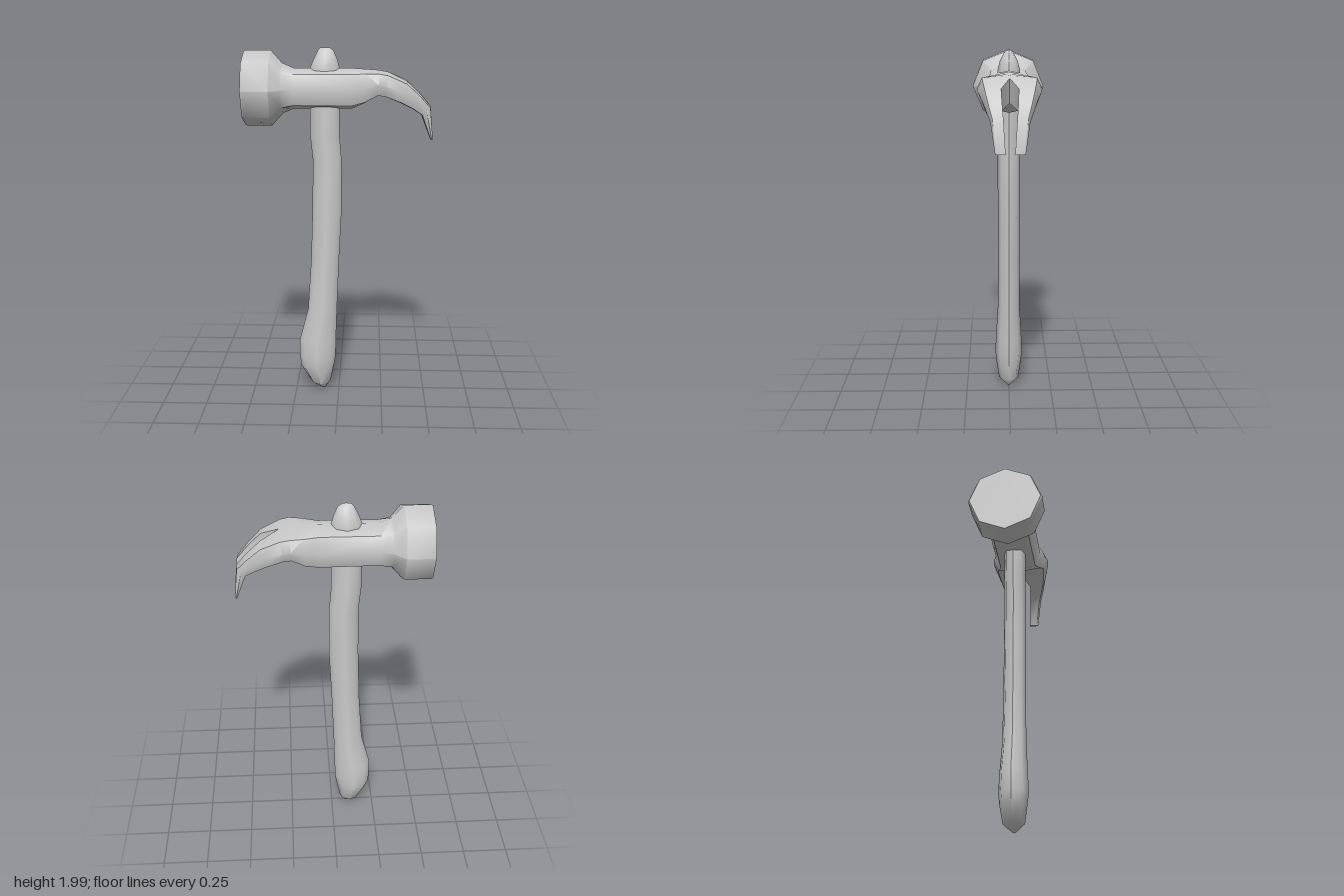
import * as THREE from 'three';
import { toCreasedNormals } from 'three/addons/utils/BufferGeometryUtils.js';

const CREASE = THREE.MathUtils.degToRad(52);

// Triangles of a capped skin through closed rings of [x, y, z] points
function loft(rings) {
  const tris = [];
  const n = rings[0].length;
  for (let i = 0; i < rings.length - 1; i++) {
    for (let j = 0; j < n; j++) {
      const k = (j + 1) % n;
      const a = rings[i][j], b = rings[i + 1][j], c = rings[i + 1][k], d = rings[i][k];
      tris.push([a, d, c], [a, c, b]);
    }
  }
  const first = rings[0], last = rings[rings.length - 1];
  for (let j = 1; j < n - 1; j++) {
    tris.push([first[0], first[j + 1], first[j]], [last[0], last[j], last[j + 1]]);
  }
  return tris;
}

function makeMesh(name, tris) {
  let geo = new THREE.BufferGeometry();
  geo.setAttribute('position', new THREE.Float32BufferAttribute(tris.flat(2), 3));
  // Enlarged while creasing so close vertices stay distinct
  geo.scale(100, 100, 100);
  geo = toCreasedNormals(geo, CREASE);
  geo.scale(0.01, 0.01, 0.01);
  const mesh = new THREE.Mesh(geo, new THREE.MeshStandardMaterial({ color: 0xcccccc }));
  mesh.name = name;
  return mesh;
}

// Upright eight-sided rod from rows of [y, xMin, xMax, zHalf]
function rod(rows) {
  return loft(rows.map(([y, x0, x1, rz]) =>
    Array.from({ length: 8 }, (_, j) => {
      const t = (j / 8) * Math.PI * 2;
      return [(x0 + x1) / 2 + ((x1 - x0) / 2) * Math.sin(t), y, rz * Math.cos(t)];
    })));
}

// Half of a section, flat on the inner side: top to bottom round the outside.
// A smaller power makes it squarer.
function halfSection([topX, topY, botX, botY, zIn, zOut, power]) {
  return Array.from({ length: 5 }, (_, j) => {
    const t = (j / 4) * Math.PI;
    const c = Math.cos(t);
    const s = j % 4 === 0 ? 0 : Math.sin(t) ** power;
    const f = j === 2 ? 0.5 : (1 - Math.sign(c) * Math.abs(c) ** power) / 2;
    return [topX + (botX - topX) * f, topY + (botY - topY) * f, zIn + (zOut - zIn) * s];
  });
}

export function createModel() {
  const group = new THREE.Group();
  group.name = 'clawHammer';

  // Curved handle with a swollen grip
  group.add(makeMesh('handle', rod([
    [0.01, -0.1, -0.08, 0.008],
    [0.05, -0.165, -0.05, 0.058],
    [0.15, -0.225, -0.03, 0.074],
    [0.21, -0.23, -0.02, 0.08],
    [0.31, -0.23, -0.018, 0.076],
    [0.5, -0.18, -0.012, 0.065],
    [0.8, -0.16, 0, 0.063],
    [1.1, -0.15, 0.015, 0.063],
    [1.38, -0.146, 0.015, 0.063],
    [1.52, -0.16, 0.003, 0.063],
    [1.75, -0.16, 0.003, 0.063],
  ])));

  // End of the handle standing out above the head
  group.add(makeMesh('handleTop', rod([
    [1.8, -0.16, 0.005, 0.063],
    [1.885, -0.16, 0.005, 0.063],
    [1.94, -0.138, -0.01, 0.05],
    [1.985, -0.115, -0.03, 0.026],
    [2, -0.1, -0.05, 0.01],
  ])));

  // Head: striking face, neck, body and split claw, as two mirrored halves
  const sections = [
    [-0.52, 1.98, -0.52, 1.58, 0, 0.2, 1],
    [-0.51, 1.985, -0.51, 1.575, 0, 0.208, 1],
    [-0.37, 1.985, -0.37, 1.575, 0, 0.208, 1],
    [-0.31, 1.917, -0.31, 1.643, 0, 0.14, 1],
    [-0.245, 1.89, -0.245, 1.67, 0, 0.137, 0.8],
    [0.07, 1.89, 0.07, 1.67, 0, 0.137, 0.75],
    [0.15, 1.885, 0.14, 1.7, 0, 0.162, 0.6],
    [0.22, 1.88, 0.21, 1.745, 0, 0.172, 0.5],
    [0.27, 1.87, 0.25, 1.74, 0, 0.168, 0.5],
    [0.37, 1.825, 0.34, 1.705, 0.045, 0.143, 0.5],
    [0.44, 1.758, 0.4, 1.675, 0.041, 0.122, 0.5],
    [0.5, 1.69, 0.45, 1.643, 0.035, 0.1, 0.5],
    [0.516, 1.51, 0.502, 1.51, 0.024, 0.077, 0.5],
  ];
  // Drop the hidden wall where the halves meet
  const half = loft(sections.map(halfSection))
    .filter((tri) => tri.some((p) => Math.abs(p[2]) > 1e-5));
  const mirrored = half.map(([a, b, c]) => [a, c, b].map(([x, y, z]) => [x, y, -z]));
  group.add(makeMesh('head', [...half, ...mirrored]));

  return group;
}
